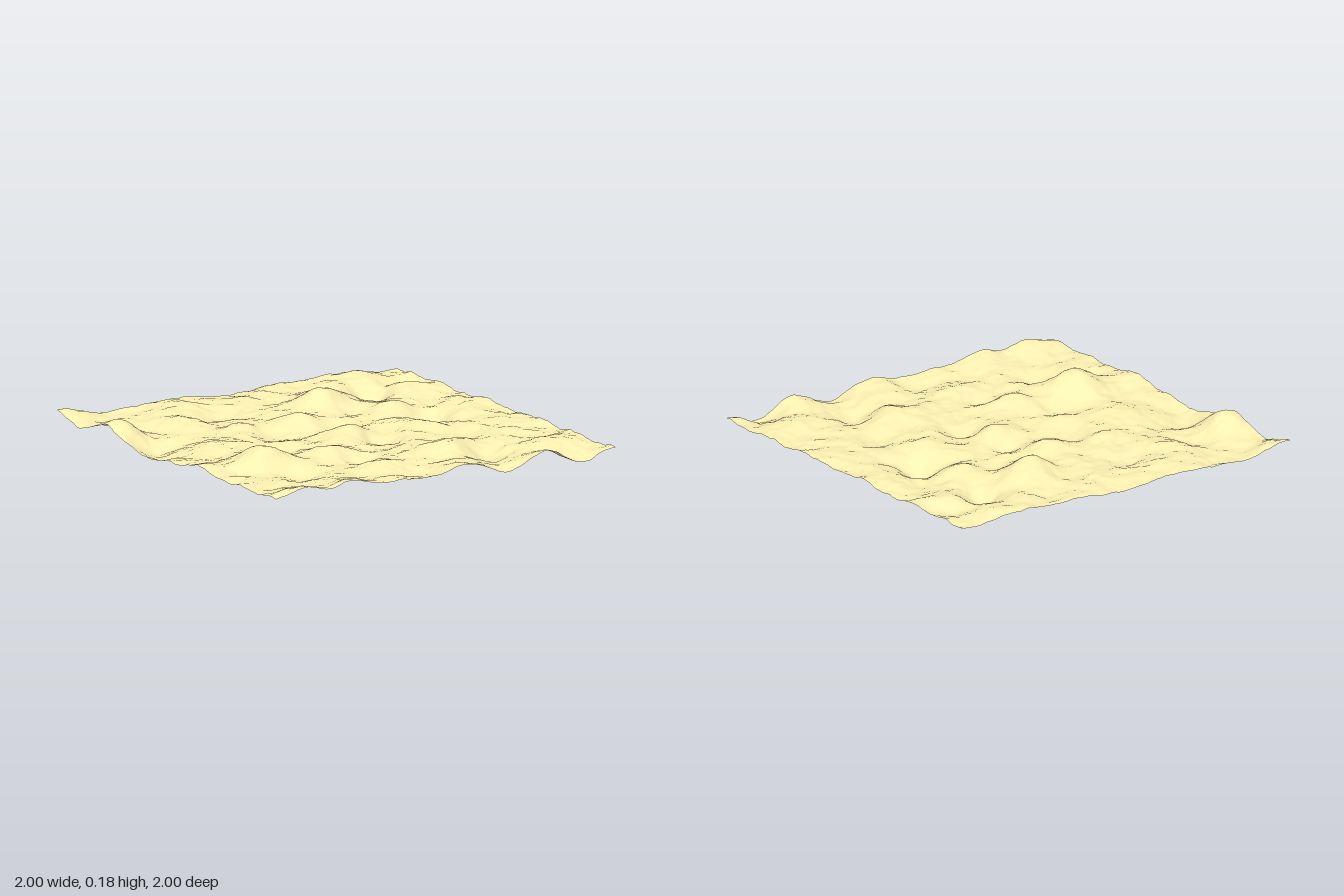
import * as THREE from 'three';

const SEGMENTS = 160;
const HEIGHT = 0.18;

// Slopes that fall toward +x +z: [x, z, strength, radius]
const SLOPES = [
  [-0.92, -0.43, 0.034, 0.13], [-0.68, 0.48, 0.034, 0.13], [0.1, 0.1, 0.036, 0.11],
  [0.34, 0.65, 0.03, 0.12], [0.43, 0.57, 0.02, 0.1], [-0.55, 0.04, 0.025, 0.12],
  [0.52, -0.2, 0.024, 0.11], [0.3, -0.44, 0.026, 0.12], [0.55, -0.7, 0.022, 0.1],
  [-0.9, -0.88, 0.026, 0.12], [-0.3, -0.75, 0.022, 0.12], [0.03, -0.2, 0.026, 0.11],
  [-0.32, -0.27, 0.02, 0.12], [-0.9, 0.36, 0.022, 0.1], [-0.22, 0.45, 0.026, 0.12],
  [0.5, 0.2, 0.018, 0.1], [0.3, 0.36, 0.016, 0.11], [-0.12, 0.77, 0.02, 0.11],
  [0.72, -0.45, 0.02, 0.11], [0.8, -0.82, 0.016, 0.1], [-0.45, -0.53, 0.02, 0.1],
  [0.88, -0.55, 0.018, 0.1], [0.83, 0.8, 0.015, 0.11], [-0.78, -0.68, 0.018, 0.1],
];

// Main hilltops and hollows: [x, z, height, radius]
const LANDMARKS = [
  [-0.62, 0.36, 0.06, 0.15], [0.27, -0.55, 0.038, 0.15], [-0.93, -0.55, 0.03, 0.12],
  [0.63, -0.62, -0.042, 0.11], [0.63, -0.12, -0.042, 0.11], [-0.9, -0.15, -0.03, 0.15],
];

// Rise and fall of the front edge: [x, height]
const FRONT_EDGE = [
  [-0.85, 0.03], [-0.53, 0.03], [0.15, 0.02], [0.4, -0.03], [0.6, 0.025], [0.8, -0.03],
];

const gauss = (dx, dz, r) => Math.exp(-(dx * dx + dz * dz) / (r * r));

function hash(i, j) {
  let h = Math.imul(i + 101, 374761393) ^ Math.imul(j + 211, 668265263);
  h = Math.imul(h ^ (h >>> 13), 1274126177);
  return ((h ^ (h >>> 16)) >>> 0) / 4294967296;
}

// Smooth gradient noise
function noise(x, z) {
  const i = Math.floor(x), j = Math.floor(z), u = x - i, v = z - j;
  const fade = (t) => t * t * t * (t * (t * 6 - 15) + 10);
  const corner = (a, b) => {
    const angle = hash(i + a, j + b) * Math.PI * 2;
    return Math.cos(angle) * (u - a) + Math.sin(angle) * (v - b);
  };
  const { lerp } = THREE.MathUtils;
  return lerp(
    lerp(corner(0, 0), corner(1, 0), fade(u)),
    lerp(corner(0, 1), corner(1, 1), fade(u)), fade(v));
}

function heightAt(x, z) {
  let y = 0;
  // A crest above and a hollow below every slope
  for (const [sx, sz, strength, r] of SLOPES) {
    y += strength * gauss(x - sx + 0.05, z - sz + 0.09, r);
    y -= strength * gauss(x - sx - 0.06, z - sz - 0.08, r);
  }
  for (const [lx, lz, h, r] of LANDMARKS) y += h * gauss(x - lx, z - lz, r);
  for (const [ex, h] of FRONT_EDGE) y += h * gauss(x - ex, z - 1, 0.12);
  // Finer ripples, stretched a little across x
  for (let octave = 0, f = 4.5, a = 0.02; octave < 4; octave++, f *= 2, a *= 0.5) {
    y += a * noise(x * f * 0.85 + octave * 17.3, z * f + octave * 9.1);
  }
  return y;
}

export function createModel() {
  const group = new THREE.Group();
  group.name = 'terrain';

  const geometry = new THREE.PlaneGeometry(2, 2, SEGMENTS, SEGMENTS);
  geometry.rotateX(-Math.PI / 2);
  const pos = geometry.attributes.position;
  for (let i = 0; i < pos.count; i++) pos.setY(i, heightAt(pos.getX(i), pos.getZ(i)));

  // Fit the relief to its full height, standing on the ground
  geometry.computeBoundingBox();
  const { min, max } = geometry.boundingBox;
  const low = min.y, scale = HEIGHT / (max.y - min.y);
  for (let i = 0; i < pos.count; i++) pos.setY(i, (pos.getY(i) - low) * scale);
  geometry.computeVertexNormals();
  geometry.computeBoundingBox();

  const sand = new THREE.MeshStandardMaterial({ color: 0xfbf0b0, side: THREE.DoubleSide });
  const surface = new THREE.Mesh(geometry, sand);
  surface.name = 'sandSurface';
  group.add(surface);
  return group;
}
